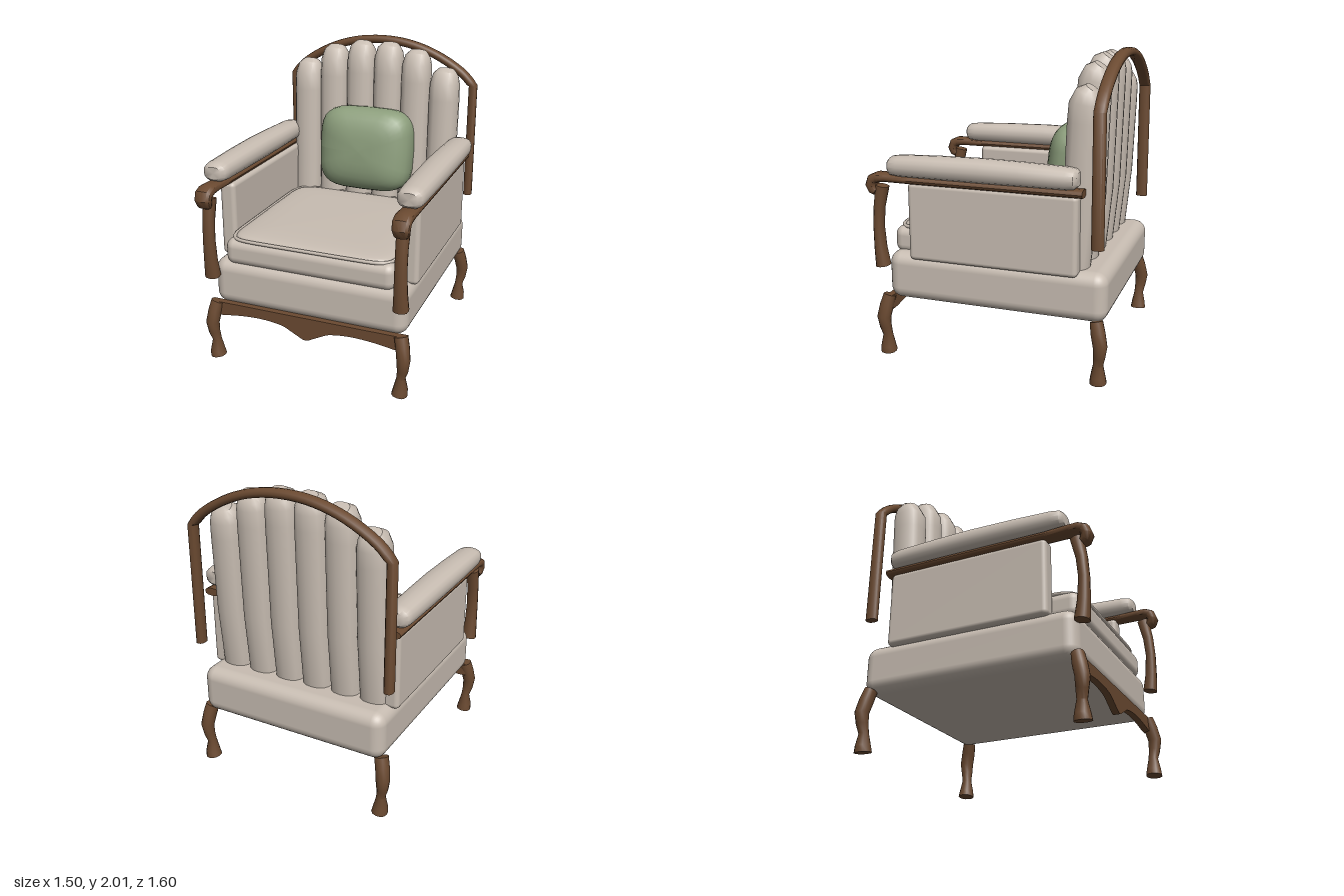
import * as THREE from 'three';
import { toCreasedNormals } from 'three/addons/utils/BufferGeometryUtils.js';
import { RoundedBoxGeometry } from 'three/addons/geometries/RoundedBoxGeometry.js';

// signed power, used for superellipse outlines
const spow = (v, p) => Math.sign(v) * Math.abs(v) ** p;

// Sweep a (super)elliptical section along stations [x, y, z, a, b];
// a is the half width along "side", b the half width across it.
function sweep(stations, side, sides = 12, power = 1) {
  const pts = stations.map(s => new THREE.Vector3(s[0], s[1], s[2]));
  const pos = [], idx = [], last = pts.length - 1;
  pts.forEach((p, i) => {
    const t = pts[Math.min(i + 1, last)].clone().sub(pts[Math.max(i - 1, 0)]).normalize();
    const s = side.clone().addScaledVector(t, -side.dot(t)).normalize();
    const u = t.clone().cross(s);
    for (let j = 0; j < sides; j++) {
      const q = (j / sides) * Math.PI * 2;
      const v = p.clone()
        .addScaledVector(s, stations[i][3] * spow(Math.cos(q), power))
        .addScaledVector(u, stations[i][4] * spow(Math.sin(q), power));
      pos.push(v.x, v.y, v.z);
    }
  });
  for (let i = 0; i < last; i++) {
    for (let j = 0; j < sides; j++) {
      const a = i * sides + j, b = i * sides + (j + 1) % sides;
      idx.push(a, b, a + sides, b, b + sides, a + sides);
    }
  }
  // end caps
  const c0 = pos.length / 3;
  pos.push(...pts[0].toArray(), ...pts[last].toArray());
  for (let j = 0; j < sides; j++) {
    const k = (j + 1) % sides;
    idx.push(c0, k, j, c0 + 1, last * sides + j, last * sides + k);
  }
  const g = new THREE.BufferGeometry();
  g.setAttribute('position', new THREE.Float32BufferAttribute(pos, 3));
  g.setIndex(idx);
  return toCreasedNormals(g, 0.75);
}

// Pillow form: rounded-square outline in x/y, softly domed along z
function pillowGeometry(w, h, d, outline, dome) {
  const g = new THREE.SphereGeometry(1, 32, 16).rotateX(Math.PI / 2);
  const p = g.attributes.position;
  for (let i = 0; i < p.count; i++) {
    const r = Math.hypot(p.getX(i), p.getY(i));
    const q = Math.atan2(p.getY(i), p.getX(i)), k = r ** dome;
    p.setXYZ(i, w * k * spow(Math.cos(q), outline), h * k * spow(Math.sin(q), outline),
      d * spow(p.getZ(i), dome));
  }
  g.computeVertexNormals();
  return g;
}

export function createModel() {
  const chair = new THREE.Group();
  chair.name = 'armchair';
  const material = (name, color) => {
    const m = new THREE.MeshStandardMaterial({ color });
    m.name = name;
    return m;
  };
  const fabric = material('beige fabric', 0xc8bdb2);
  const wood = material('brown wood', 0x6b4a31);
  const green = material('sage green fabric', 0x8d9f7d);
  const X = new THREE.Vector3(1, 0, 0), Z = new THREE.Vector3(0, 0, 1);

  const add = (name, geometry, mat, x = 0, y = 0, z = 0) => {
    const m = new THREE.Mesh(geometry, mat);
    m.name = name;
    m.position.set(x, y, z);
    chair.add(m);
    return m;
  };

  // upholstered base
  add('seatBase', new RoundedBoxGeometry(1.34, 0.32, 1.46, 4, 0.08), fabric, 0, 0.54, -0.05);

  // seat cushion with piping and a crowned top
  add('seatCushion', new RoundedBoxGeometry(1.17, 0.18, 1.17, 4, 0.06), fabric, 0, 0.76, 0.085);
  const loop = [];
  for (let i = 0; i < 48; i++) {
    const q = (i / 48) * Math.PI * 2;
    loop.push(new THREE.Vector3(0.565 * spow(Math.cos(q), 0.2), 0, 0.565 * spow(Math.sin(q), 0.2)));
  }
  add('seatPiping', new THREE.TubeGeometry(new THREE.CatmullRomCurve3(loop, true), 144, 0.013, 6, true),
    fabric, 0, 0.848, 0.085);
  add('seatCrown', pillowGeometry(0.56, 0.56, 0.045, 0.2, 0.5).rotateX(-Math.PI / 2),
    fabric, 0, 0.836, 0.085);

  // channelled back: six padded rolls following the arch
  const tops = [1.955, 1.915, 1.80];
  for (const s of [-1, 1]) {
    tops.forEach((h, i) => {
      const x = s * (0.103 + i * 0.207);
      add('backRoll', sweep([
        [x, 0.68, -0.54, 0.1, 0.1],
        [x, 1.1, -0.575, 0.103, 0.105],
        [x, h - 0.2, -0.592, 0.105, 0.105],
        [x, h - 0.09, -0.598, 0.102, 0.102],
        [x, h - 0.03, -0.615, 0.088, 0.082],
        [x, h, -0.635, 0.06, 0.045],
      ], X, 16, 0.8), fabric);
    });
  }

  // bent wood back frame
  const arch = new THREE.CatmullRomCurve3(
    [[-0.69, 1.685], [-0.6, 1.775], [-0.4, 1.89], [-0.2, 1.953], [0, 1.972],
      [0.2, 1.953], [0.4, 1.89], [0.6, 1.775], [0.69, 1.685]]
      .map(([x, y]) => new THREE.Vector3(x, y, -0.722)));
  add('backFrame', sweep([
    [-0.69, 0.87, -0.727, 0.04, 0.03],
    ...arch.getPoints(32).map(p => [p.x, p.y, p.z, 0.04, 0.029]),
    [0.69, 0.87, -0.727, 0.04, 0.03],
  ], Z, 12, 0.8), wood);

  // throw pillow
  add('throwPillow', pillowGeometry(0.345, 0.3, 0.18, 0.5, 0.75), green, 0, 1.23, -0.425)
    .rotation.x = -0.1;

  // front apron with a centre drop
  const a = new THREE.Shape();
  a.moveTo(-0.66, 0.40);
  a.lineTo(-0.66, 0.305);
  a.lineTo(-0.6, 0.305);
  a.quadraticCurveTo(-0.32, 0.355, -0.15, 0.31);
  a.lineTo(-0.03, 0.248);
  a.quadraticCurveTo(0, 0.232, 0.03, 0.248);
  a.lineTo(0.15, 0.31);
  a.quadraticCurveTo(0.32, 0.355, 0.6, 0.305);
  a.lineTo(0.66, 0.305);
  a.lineTo(0.66, 0.40);
  add('frontApron', new THREE.ExtrudeGeometry(a, { depth: 0.045, bevelEnabled: false, curveSegments: 12 }),
    wood, 0, 0, 0.65);

  for (const s of [-1, 1]) {
    // side panel
    add('sidePanel', new RoundedBoxGeometry(0.11, 0.51, 1.11, 3, 0.03), fabric, s * 0.635, 0.925, -0.045);

    // arm pad
    const x = s * 0.655;
    add('armPad', sweep([
      [x, 1.28, -0.597, 0.055, 0.042],
      [x, 1.28, -0.578, 0.08, 0.06],
      [x, 1.281, -0.53, 0.088, 0.067],
      [x, 1.285, -0.25, 0.094, 0.072],
      [x, 1.287, 0, 0.096, 0.075],
      [x, 1.285, 0.3, 0.094, 0.072],
      [x, 1.281, 0.56, 0.088, 0.067],
      [x, 1.28, 0.615, 0.08, 0.06],
      [x, 1.28, 0.635, 0.055, 0.042],
    ], X, 16, 0.8), fabric);

    // arm rail ending in a scroll
    add('armRail', sweep([
      [x, 1.195, -0.63, 0.055, 0.026],
      [x, 1.195, 0.5, 0.055, 0.026],
      [x, 1.2, 0.66, 0.058, 0.03],
      [x, 1.198, 0.72, 0.06, 0.034],
      [x, 1.182, 0.757, 0.06, 0.036],
      [x, 1.145, 0.77, 0.057, 0.036],
      [x, 1.112, 0.757, 0.05, 0.033],
      [x, 1.1, 0.738, 0.042, 0.026],
    ], X, 12, 0.8), wood);

    // curved front arm post
    const px = s * 0.65;
    add('armPost', sweep([
      [px, 0.6, 0.715, 0.05, 0.046],
      [px, 0.72, 0.73, 0.043, 0.038],
      [px, 0.87, 0.737, 0.039, 0.033],
      [px, 1.0, 0.727, 0.039, 0.035],
      [px, 1.14, 0.7, 0.042, 0.042],
    ], X, 12, 0.8), wood);

    // curved legs, knees turned outward
    for (const [name, f, z] of [['frontLeg', 1, 0.7], ['backLeg', -1, 0.74]]) {
      add(name, sweep([
        [s * 0.65, 0, f * z, 0.052, 0.054],
        [s * 0.655, 0.04, f * z, 0.047, 0.048],
        [s * 0.657, 0.12, f * z, 0.028, 0.032],
        [s * 0.67, 0.18, f * (z + 0.008), 0.036, 0.038],
        [s * 0.675, 0.25, f * (z + 0.014), 0.043, 0.045],
        [s * 0.662, 0.33, f * (z - 0.004), 0.044, 0.046],
        [s * 0.645, 0.4, f * (z - 0.02), 0.045, 0.04],
      ], X, 12, 0.9), wood);
    }
  }
  return chair;
}
